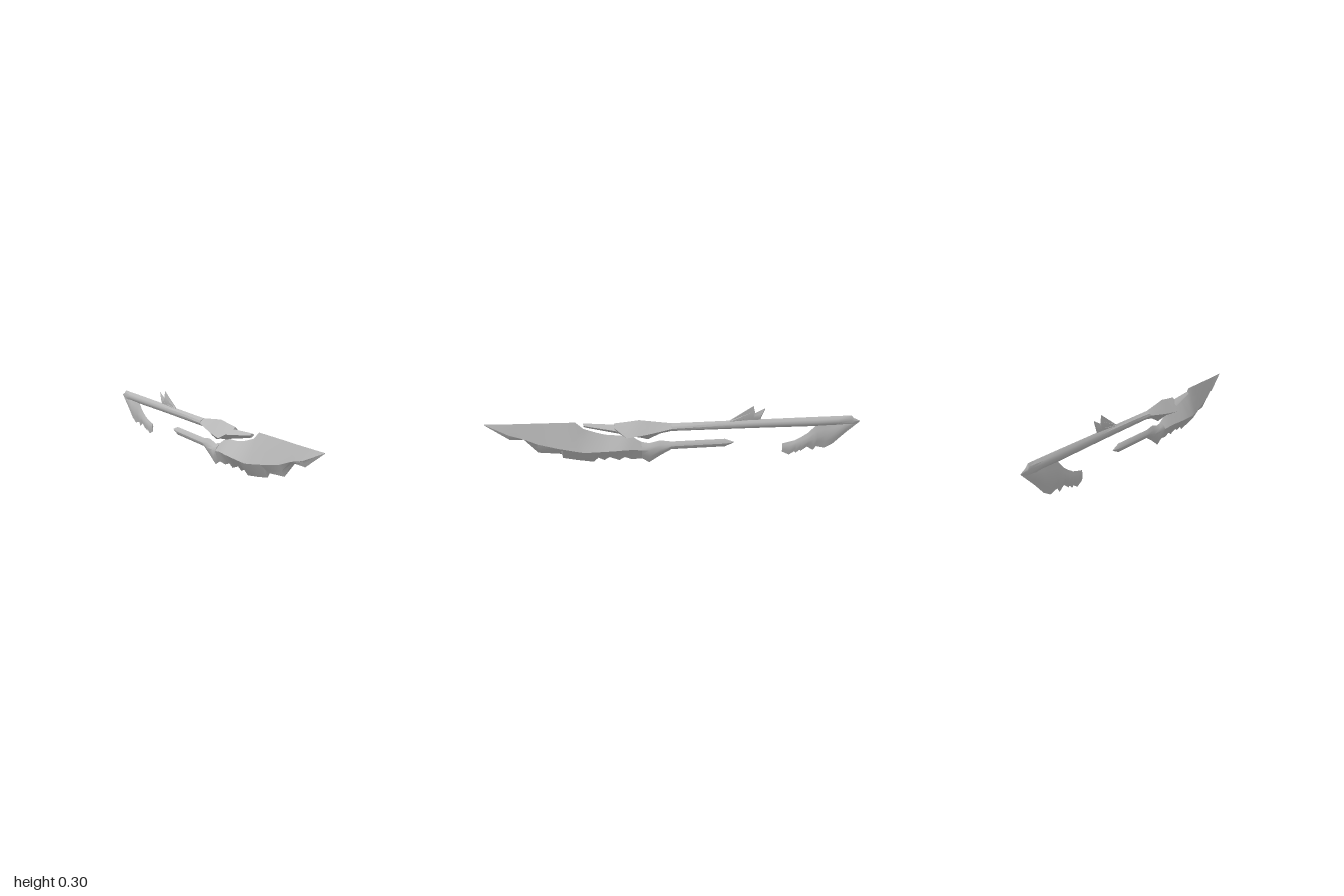
import * as THREE from 'three';
import { toCreasedNormals } from 'three/addons/utils/BufferGeometryUtils.js';

// Lofts an eight-sided section along z. Each station is
// [z, top, ridge height, bottom, half width, x offset]; bulge 0.5 gives a diamond section.
function loft(stations, bulge) {
  const positions = [], index = [], n = 8;
  for (const [z, top, ridge, bottom, w, dx = 0] of stations) {
    const upper = (top + ridge) / 2, lower = (bottom + ridge) / 2, s = w * bulge;
    const ring = [[0, top], [s, upper], [w, ridge], [s, lower],
      [0, bottom], [-s, lower], [-w, ridge], [-s, upper]];
    for (const [x, y] of ring) positions.push(x + dx, y, z);
  }
  const last = (stations.length - 1) * n;
  for (let i = 0; i < last; i += n) {
    for (let j = 0; j < n; j++) {
      const k = (j + 1) % n;
      index.push(i + j, i + k, i + n + j, i + k, i + n + k, i + n + j);
    }
  }
  for (let j = 1; j < n - 1; j++) {
    index.push(0, j + 1, j, last, last + j, last + j + 1);
  }
  const geometry = new THREE.BufferGeometry();
  geometry.setAttribute('position', new THREE.Float32BufferAttribute(positions, 3));
  geometry.setIndex(index);
  return toCreasedNormals(geometry, 0.6);
}

export function createModel() {
  const group = new THREE.Group();
  const grey = new THREE.MeshStandardMaterial({ color: 0xb8b8b8 });
  grey.name = 'grey metal';
  const add = (name, stations, bulge) => {
    const mesh = new THREE.Mesh(loft(stations, bulge), grey);
    mesh.name = name;
    group.add(mesh);
  };

  // Broad pointed blade with a ragged lower edge
  add('blade', [
    [1, 0.272, 0.27, 0.268, 0.001],
    [0.88, 0.268, 0.21, 0.18, 0.015],
    [0.81, 0.266, 0.19, 0.178, 0.022],
    [0.74, 0.265, 0.16, 0.1, 0.03],
    [0.62, 0.262, 0.13, 0.086, 0.042],
    [0.615, 0.262, 0.13, 0.062, 0.042],
    [0.54, 0.26, 0.115, 0.045, 0.05],
    [0.5, 0.222, 0.108, 0.038, 0.053],
    [0.455, 0.205, 0.108, 0.03, 0.053],
    [0.43, 0.196, 0.108, 0.053, 0.053],
    [0.4, 0.187, 0.108, 0.037, 0.052],
    [0.37, 0.18, 0.108, 0.052, 0.052],
    [0.32, 0.176, 0.108, 0.032, 0.05],
    [0.29, 0.175, 0.108, 0.048, 0.046],
    [0.255, 0.168, 0.105, 0.033, 0.04],
    [0.2, 0.132, 0.095, 0.035, 0.028],
  ], 0.52);

  // Lower rod, rooted in the back of the blade
  add('lowerRod', [
    [0.2, 0.132, 0.095, 0.035, 0.028],
    [0.16, 0.122, 0.09, 0.01, 0.022],
    [0.1, 0.135, 0.09, 0.048, 0.016],
    [0.04, 0.125, 0.102, 0.08, 0.013],
    [-0.25, 0.125, 0.102, 0.08, 0.013],
    [-0.3, 0.104, 0.102, 0.1, 0.002],
  ], 0.7);

  // Faceted receiver, widest just behind the blade
  add('receiver', [
    [0.34, 0.245, 0.225, 0.2, 0.018],
    [0.28, 0.25, 0.183, 0.168, 0.062],
    [0.21, 0.257, 0.188, 0.158, 0.054],
    [0.165, 0.25, 0.192, 0.145, 0.047],
    [0.1, 0.24, 0.2, 0.175, 0.036],
    [0.04, 0.231, 0.208, 0.186, 0.026],
  ], 0.52);

  // Long barrel
  add('barrel', [
    [0.04, 0.231, 0.208, 0.186, 0.026],
    [-0.1, 0.23, 0.207, 0.184, 0.019],
    [-0.4, 0.229, 0.204, 0.18, 0.016],
    [-0.75, 0.227, 0.2, 0.173, 0.018],
    [-0.87, 0.226, 0.2, 0.172, 0.018],
    [-0.95, 0.225, 0.2, 0.16, 0.01],
    [-0.962, 0.21, 0.195, 0.165, 0.008],
    [-1, 0.192, 0.19, 0.188, 0.001],
  ], 0.8);

  // Forward spike over the slit in the blade
  add('spike', [
    [0.5, 0.248, 0.24, 0.229, 0.011, -0.011],
    [0.48, 0.247, 0.235, 0.222, 0.014, -0.011],
    [0.31, 0.232, 0.205, 0.18, 0.032, -0.008],
    [0.26, 0.23, 0.195, 0.17, 0.04],
  ], 0.6);

  // Twin-pointed fin on the barrel
  add('fin', [
    [-0.27, 0.23, 0.225, 0.22, 0.008],
    [-0.4, 0.307, 0.24, 0.22, 0.006],
    [-0.41, 0.265, 0.24, 0.22, 0.006],
    [-0.437, 0.279, 0.24, 0.222, 0.006],
    [-0.462, 0.291, 0.288, 0.283, 0.001],
  ], 0.5);

  // Ragged hooked plate under the barrel's end
  add('hook', [
    [-0.57, 0.08, 0.06, 0.03, 0.004],
    [-0.61, 0.088, 0.06, 0.01, 0.008],
    [-0.64, 0.095, 0.07, 0.028, 0.009],
    [-0.648, 0.1, 0.07, 0.018, 0.009],
    [-0.67, 0.11, 0.075, 0.036, 0.01],
    [-0.675, 0.113, 0.075, 0.028, 0.01],
    [-0.71, 0.135, 0.09, 0.052, 0.011],
    [-0.745, 0.17, 0.1, 0.03, 0.012],
    [-0.76, 0.182, 0.11, 0.052, 0.012],
    [-0.81, 0.19, 0.12, 0.04, 0.013],
    [-0.855, 0.19, 0.13, 0.062, 0.013],
    [-0.92, 0.2, 0.165, 0.122, 0.01],
    [-0.995, 0.195, 0.19, 0.184, 0.001],
  ], 0.6);

  return group;
}
